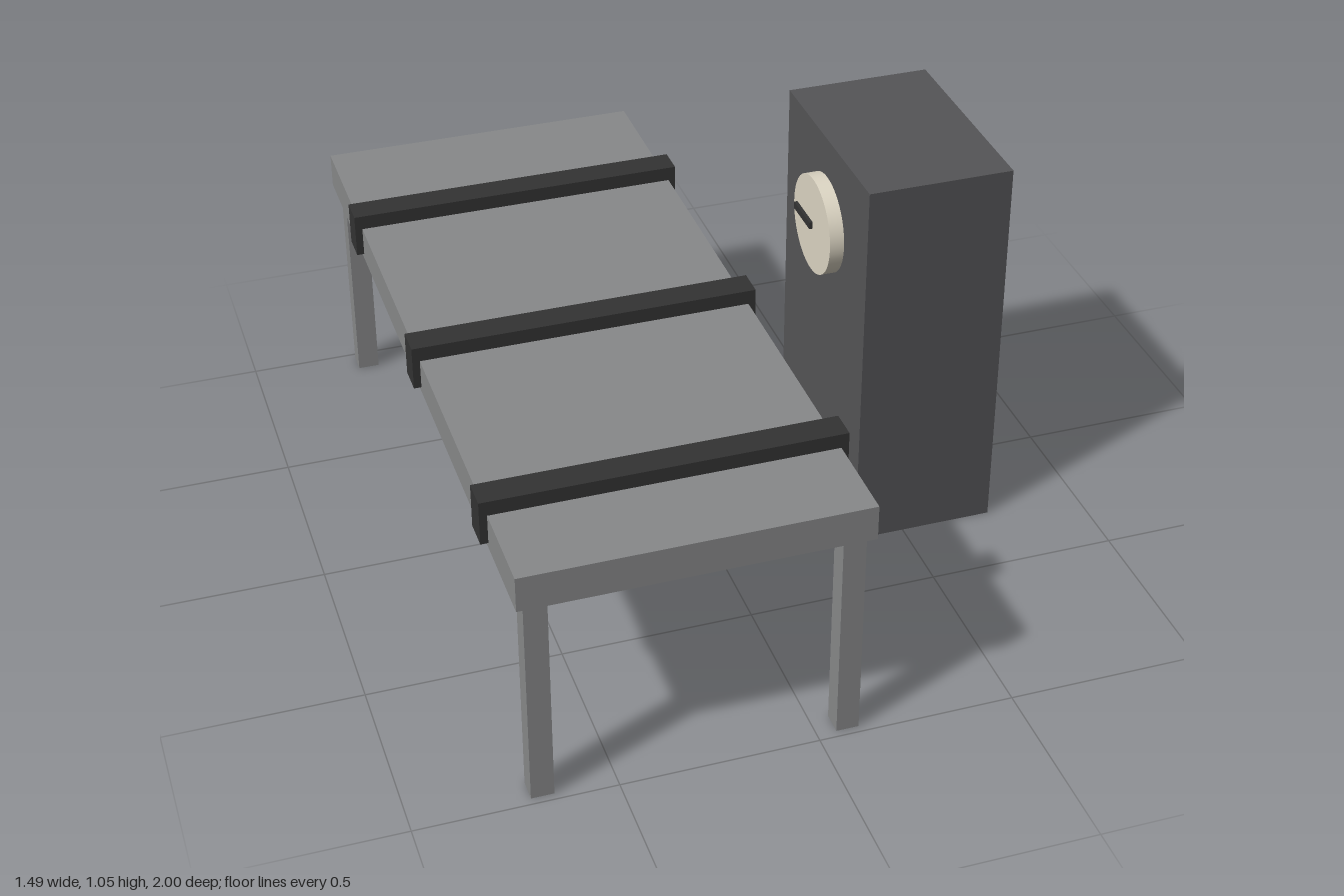
import * as THREE from 'three';

const material = (color) => new THREE.MeshStandardMaterial({ color });

export function createModel() {
  const model = new THREE.Group();
  const steel = material(0x88898a);
  const strapBlack = material(0x333333);
  const cabinetGrey = material(0x555557);
  const cream = material(0xddd6c4);

  // Box given by its minimum and maximum on each axis
  function addBox(name, [x0, x1], [y0, y1], [z0, z1], mat) {
    const mesh = new THREE.Mesh(new THREE.BoxGeometry(x1 - x0, y1 - y0, z1 - z0), mat);
    mesh.position.set((x0 + x1) / 2, (y0 + y1) / 2, (z0 + z1) / 2);
    mesh.name = name;
    model.add(mesh);
  }

  // Table top and four square legs
  addBox('tableTop', [-0.73, 0.125], [0.575, 0.667], [-1, 1], steel);
  for (const x of [-0.682, 0.078]) {
    for (const z of [-0.952, 0.952]) {
      addBox('tableLeg', [x - 0.0285, x + 0.0285], [0, 0.575], [z - 0.0285, z + 0.0285], steel);
    }
  }

  // Straps wrapped across the table top
  for (const z of [-0.615, 0.055, 0.72]) {
    addBox('strap', [-0.749, 0.144], [0.59, 0.705], [z - 0.0375, z + 0.0375], strapBlack);
  }

  // Cabinet beside the table
  addBox('cabinet', [0.365, 0.745], [0, 1.05], [-0.286, 0.286], cabinetGrey);

  // Round gauge on the cabinet, facing the table
  const dial = new THREE.Mesh(new THREE.CylinderGeometry(0.132, 0.132, 0.038, 48), cream);
  dial.rotation.z = Math.PI / 2;
  dial.position.set(0.346, 0.813, 0);
  dial.name = 'gaugeDial';
  model.add(dial);

  // Gauge needle
  addBox('gaugeNeedle', [0.318, 0.328], [0.803, 0.822], [-0.108, 0.006], strapBlack);

  return model;
}
